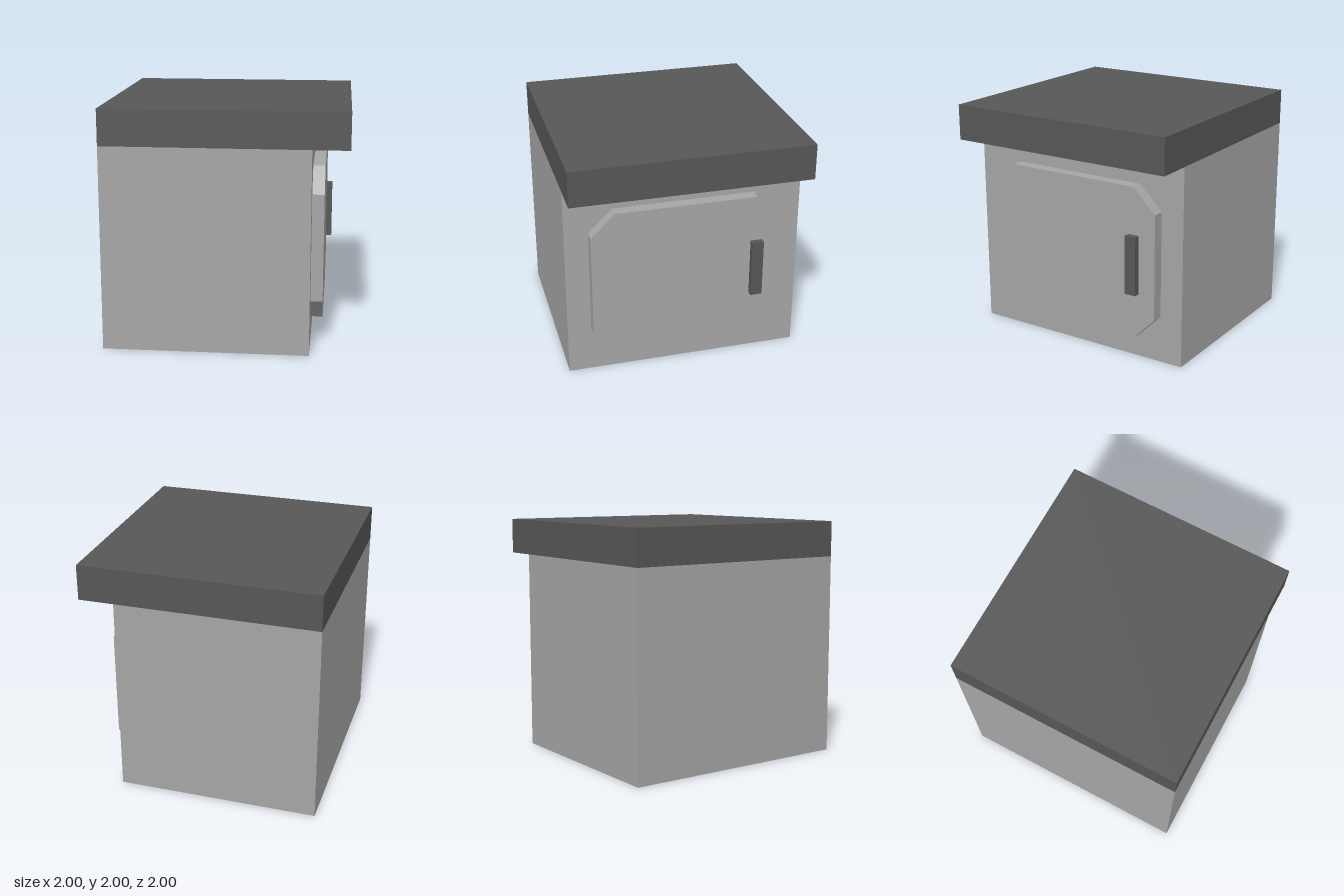
import * as THREE from 'three';

const lightGrey = new THREE.MeshStandardMaterial({ name: 'lightGrey', color: 0xa6a6a6 });
const darkGrey = new THREE.MeshStandardMaterial({ name: 'darkGrey', color: 0x575757 });

// Box given by its minimum and maximum corners
function addBox(group, name, material, min, max) {
  const size = max.map((v, i) => v - min[i]);
  const mesh = new THREE.Mesh(new THREE.BoxGeometry(...size), material);
  mesh.position.set(...max.map((v, i) => (v + min[i]) / 2));
  mesh.name = name;
  group.add(mesh);
}

// Rectangle with cut corners
function chamferedRect(halfWidth, bottom, top, cut) {
  const w = halfWidth, i = halfWidth - cut;
  return new THREE.Shape([
    [-i, bottom], [i, bottom], [w, bottom + cut], [w, top - cut],
    [i, top], [-i, top], [-w, top - cut], [-w, bottom + cut],
  ].map(([x, y]) => new THREE.Vector2(x, y)));
}

export function createModel() {
  const group = new THREE.Group();
  group.name = 'cabinet';

  addBox(group, 'body', lightGrey, [-1, 0, -1], [0.7, 1.7, 1]);
  addBox(group, 'topSlab', darkGrey, [-1, 1.7, -1], [1, 2, 1]);

  // Door panel on the +x side
  const doorGeometry = new THREE.ExtrudeGeometry(chamferedRect(0.8, 0.2, 1.5, 0.2), {
    depth: 0.1, bevelEnabled: false,
  });
  doorGeometry.rotateY(Math.PI / 2);
  const door = new THREE.Mesh(doorGeometry, lightGrey);
  door.position.x = 0.7;
  door.name = 'door';
  group.add(door);

  addBox(group, 'doorHandle', darkGrey, [0.8, 0.6, -0.65], [0.85, 1.1, -0.55]);

  return group;
}
